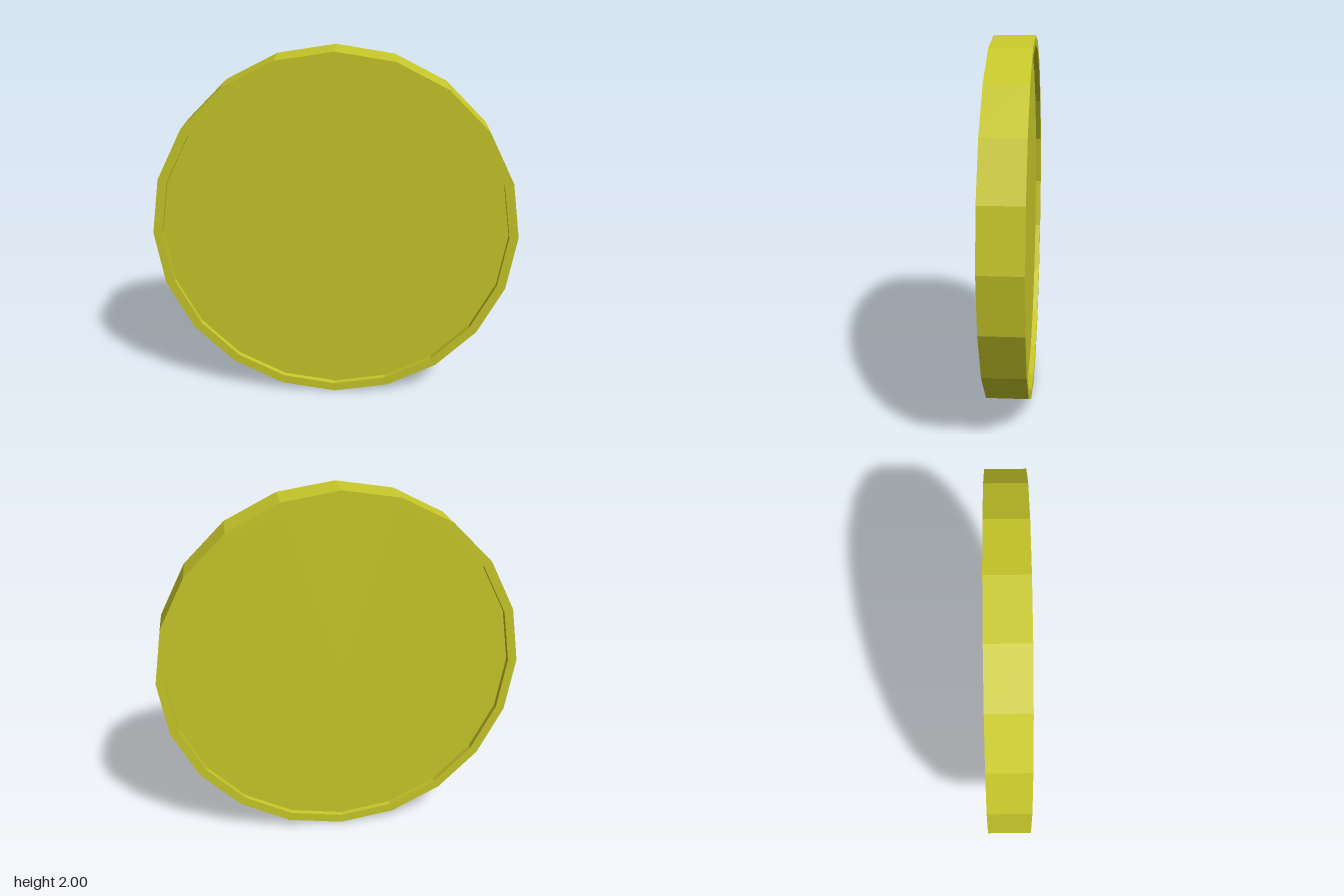
import * as THREE from 'three';

const SIDES = 20;
const RADIUS = 1, INNER = 0.95;   // outer edge and inside of the raised rim
const HALF = 0.111, RECESS = 0.03; // half thickness and depth of the sunken faces

export function createModel() {
  const group = new THREE.Group();
  group.name = 'coin';
  const material = new THREE.MeshStandardMaterial({ color: 0xc8c82a, flatShading: true });

  // Raised rim: edge band, both lips and the inner walls
  const floor = HALF - RECESS;
  const profile = [
    [INNER, -floor], [INNER, -HALF], [RADIUS, -HALF],
    [RADIUS, HALF], [INNER, HALF], [INNER, floor],
  ].map(([r, y]) => new THREE.Vector2(r, y));
  const rim = new THREE.Mesh(new THREE.LatheGeometry(profile, SIDES).rotateX(Math.PI / 2), material);
  rim.name = 'rim';
  group.add(rim);

  // Sunken flat faces, front and back
  for (const [name, turn] of [['frontFace', 0], ['backFace', Math.PI]]) {
    const geometry = new THREE.CircleGeometry(INNER, SIDES).translate(0, 0, floor).rotateY(turn);
    const face = new THREE.Mesh(geometry, material);
    face.name = name;
    group.add(face);
  }

  // Standing on edge, turned about the vertical
  group.position.y = RADIUS;
  group.rotation.y = THREE.MathUtils.degToRad(-28.7);

  const model = new THREE.Group();
  model.name = 'standingCoin';
  model.add(group);
  return model;
}
